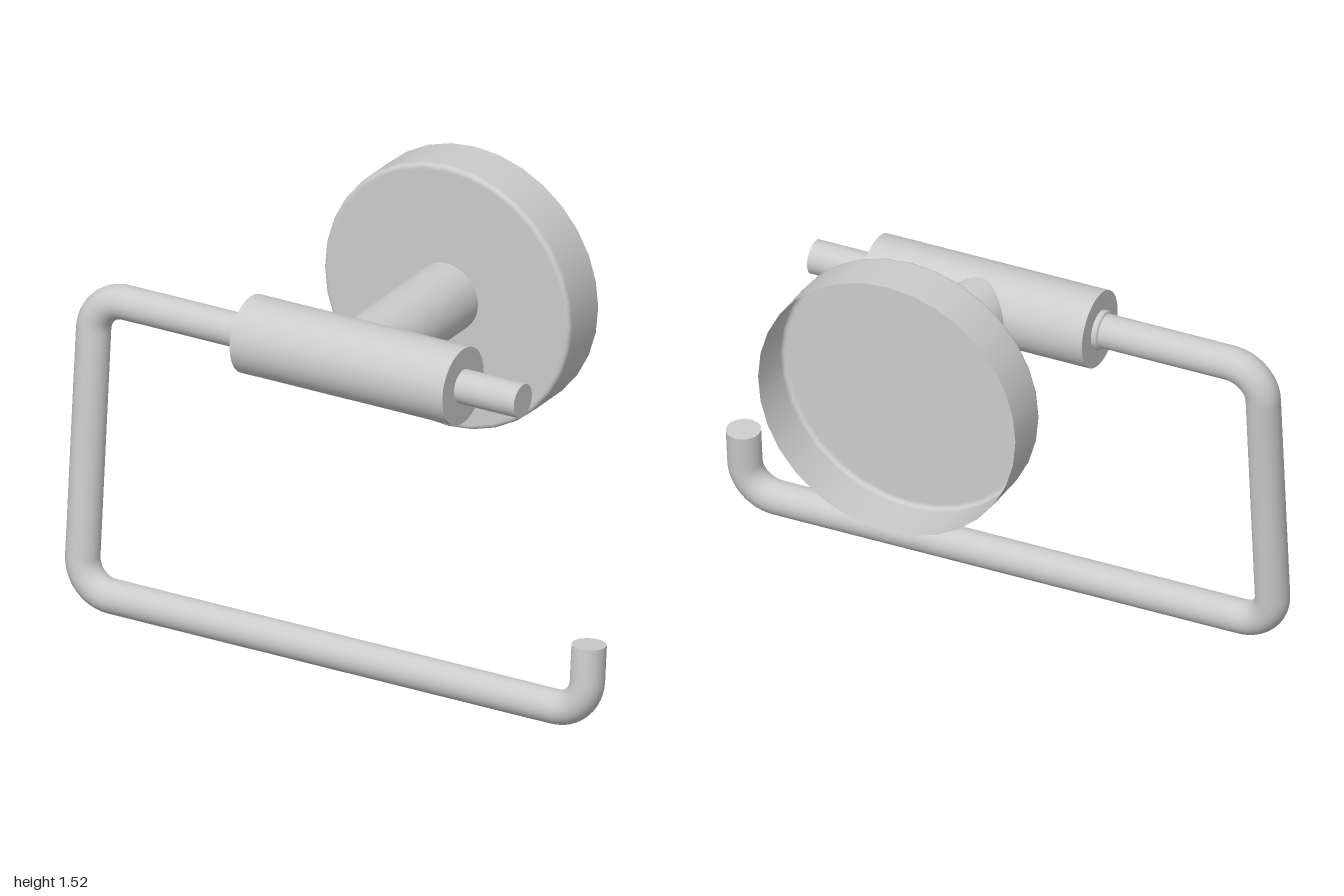
import * as THREE from 'three';

const steel = new THREE.MeshStandardMaterial({ color: 0xcccccc });
const shellSteel = new THREE.MeshStandardMaterial({ color: 0xcccccc, side: THREE.DoubleSide });

const CX = 0.034, AXIS_Y = 1.06, AXIS_Z = 0.298; // pivot of the swinging bar
const ROD = 0.057, BEND = 0.115;                 // bar radius, bend radius on its centreline

function add(parent, name, geometry, material = steel) {
  const mesh = new THREE.Mesh(geometry, material);
  mesh.name = name;
  parent.add(mesh);
  return mesh;
}

// Straight piece of bar between two points
function rod(parent, name, x0, y0, x1, y1, open = false) {
  const dir = new THREE.Vector3(x1 - x0, y1 - y0, 0);
  const mesh = add(parent, name, new THREE.CylinderGeometry(ROD, ROD, dir.length(), 32, 1, open));
  mesh.position.set((x0 + x1) / 2, (y0 + y1) / 2, 0);
  mesh.quaternion.setFromUnitVectors(new THREE.Vector3(0, 1, 0), dir.normalize());
}

// Quarter bend around a centre, starting at the given angle
function elbow(parent, name, x, y, start) {
  const mesh = add(parent, name, new THREE.TorusGeometry(BEND, ROD, 32, 12, Math.PI / 2));
  mesh.position.set(x, y, 0);
  mesh.rotation.z = start;
}

export function createModel() {
  const model = new THREE.Group();
  model.name = 'paperHolder';

  // Wall cover: thin cup, open at the back, with a small rounded front edge
  const R = 0.46, front = -0.265, back = -0.445, fillet = 0.015;
  const profile = [new THREE.Vector2(R, back), new THREE.Vector2(R, front - fillet - 0.004)];
  for (let i = 0; i <= 5; i++) {
    const a = (i / 5) * Math.PI / 2;
    profile.push(new THREE.Vector2(R - fillet + fillet * Math.cos(a), front - fillet + fillet * Math.sin(a)));
  }
  profile.push(new THREE.Vector2(R - fillet - 0.004, front), new THREE.Vector2(0, front));
  const cover = add(model, 'wallCover', new THREE.LatheGeometry(profile, 32).rotateX(Math.PI / 2), shellSteel);
  cover.position.set(CX, AXIS_Y, 0);

  // Post from the cover into the barrel
  const postLength = AXIS_Z - front;
  const post = add(model, 'post', new THREE.CylinderGeometry(0.118, 0.118, postLength, 40).rotateX(Math.PI / 2));
  post.position.set(CX, AXIS_Y, front + postLength / 2);

  // Horizontal barrel
  const barrel = add(model, 'barrel', new THREE.CylinderGeometry(0.13, 0.13, 0.795, 48).rotateZ(Math.PI / 2));
  barrel.position.set(CX, AXIS_Y, AXIS_Z);

  // Small chamfered collar where the bar enters the barrel
  const collarProfile = [[0.066, 0], [0.066, 0.014], [0.062, 0.02], [0.05, 0.02]].map(p => new THREE.Vector2(...p));
  const collar = add(model, 'collar', new THREE.LatheGeometry(collarProfile, 32).rotateZ(Math.PI / 2));
  collar.position.set(-0.364, AXIS_Y, AXIS_Z);

  // Bent bar, drawn flat from the pivot down and swung slightly forward
  const bar = new THREE.Group();
  bar.name = 'bar';
  bar.position.set(0, AXIS_Y, AXIS_Z);
  bar.rotation.x = -Math.atan2(0.088, 1.003);
  model.add(bar);
  const X = 0.943, bottom = -1.007, inner = X - BEND;
  rod(bar, 'upperBar', 0.655, 0, -inner, 0);
  elbow(bar, 'upperBend', -inner, -BEND, Math.PI / 2);
  rod(bar, 'sideBar', -X, -BEND, -X, bottom + BEND, true);
  elbow(bar, 'lowerBend', -inner, bottom + BEND, Math.PI);
  rod(bar, 'lowerBar', -inner, bottom, inner, bottom, true);
  elbow(bar, 'hookBend', inner, bottom + BEND, -Math.PI / 2);
  rod(bar, 'hookTip', X, bottom + BEND, X, bottom + 0.239);

  return model;
}
